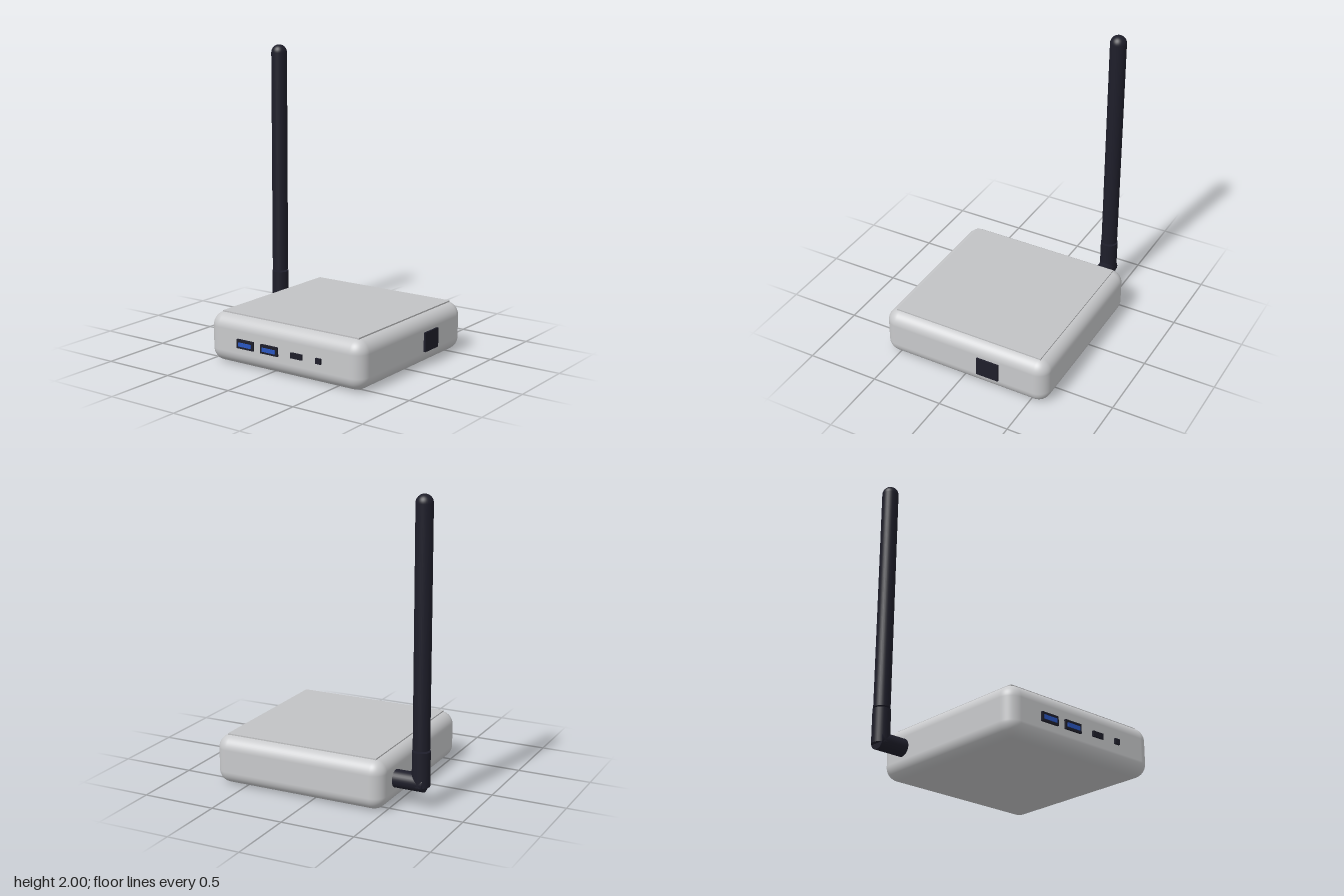
import * as THREE from 'three';
import { RoundedBoxGeometry } from 'three/addons/geometries/RoundedBoxGeometry.js';

const material = (name, color) => {
  const m = new THREE.MeshStandardMaterial({ color });
  m.name = name;
  return m;
};

export function createModel() {
  const model = new THREE.Group();
  model.name = 'miniComputer';
  const silver = material('silver', 0xc8c9cb);
  const lidGrey = material('lidGrey', 0xc2c3c5);
  const black = material('black', 0x1e1e2a);
  const blue = material('blue', 0x2a56c0);

  const add = (name, geometry, mat, x, y, z) => {
    const mesh = new THREE.Mesh(geometry, mat);
    mesh.name = name;
    mesh.position.set(x, y, z);
    model.add(mesh);
    return mesh;
  };
  const box = (name, w, h, d, mat, x, y, z) =>
    add(name, new THREE.BoxGeometry(w, h, d), mat, x, y, z);

  // Case with a thin lid panel
  add('case', new RoundedBoxGeometry(1.215, 0.33, 1.217, 6, 0.09), silver, 0.108, 0.165, -0.011);
  box('lid', 1.08, 0.012, 1.08, lidGrey, 0.11, 0.33, -0.011);

  // Front sockets: two wide ones with blue tongues, then two small ones
  for (const x of [-0.183, 0.012]) {
    box('wideSocket', 0.135, 0.06, 0.02, black, x, 0.16, 0.601);
    box('socketTongue', 0.105, 0.027, 0.008, blue, x, 0.158, 0.612);
  }
  box('smallSocket', 0.088, 0.036, 0.02, black, 0.228, 0.16, 0.601);
  box('audioSocket', 0.04, 0.036, 0.02, black, 0.398, 0.16, 0.601);

  // Socket on the left side
  box('sideSocket', 0.03, 0.13, 0.16, black, 0.714, 0.16, -0.2);

  // Antenna: horizontal connector, upright collar, rod with a domed tip
  const ax = -0.674, az = -0.404;
  const connector = add('antennaConnector', new THREE.CylinderGeometry(0.059, 0.059, 0.23, 32), black, -0.588, 0.17, az);
  connector.rotation.z = Math.PI / 2;
  add('antennaCollar', new THREE.CylinderGeometry(0.059, 0.059, 0.23, 32), black, ax, 0.265, az);
  add('antennaRod', new THREE.CylinderGeometry(0.055, 0.055, 1.553, 32), black, ax, 1.1685, az);
  add('antennaTip', new THREE.SphereGeometry(0.055, 32, 12, 0, Math.PI * 2, 0, Math.PI / 2), black, ax, 1.945, az);

  return model;
}
